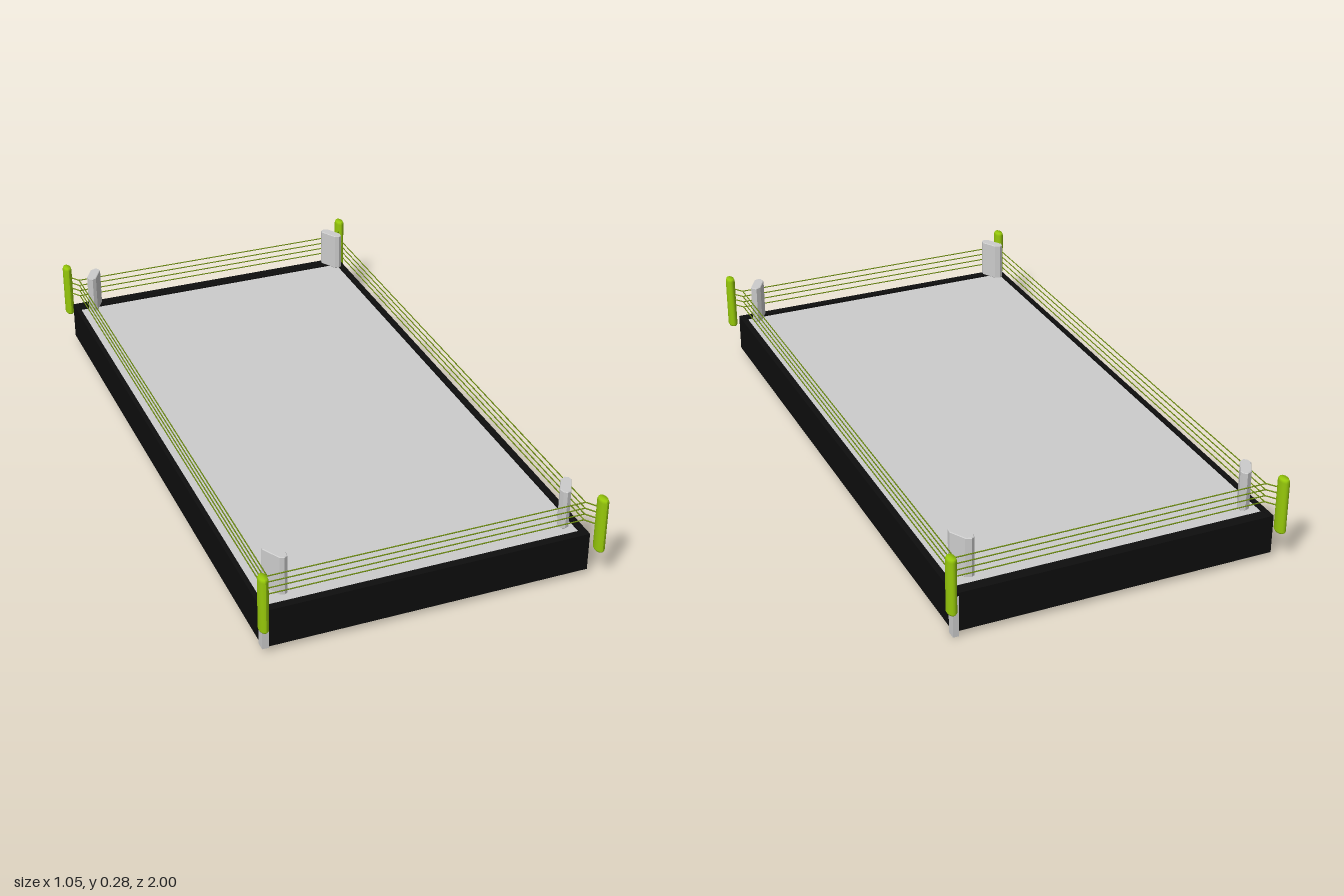
import * as THREE from 'three';

const mat = (color) => new THREE.MeshStandardMaterial({ color });
const grey = mat(0xcccccc);
const black = mat(0x0e0e0e);
const green = mat(0x96c80a);
const ropeGreen = mat(0x6f8f10);

export function createModel() {
  const ring = new THREE.Group();
  ring.name = 'wrestlingRing';

  const add = (name, geometry, material) => {
    const mesh = new THREE.Mesh(geometry, material);
    mesh.name = name;
    ring.add(mesh);
    return mesh;
  };
  // box given by its two extreme corners
  const block = (name, material, [x0, y0, z0], [x1, y1, z1]) =>
    add(name, new THREE.BoxGeometry(x1 - x0, y1 - y0, z1 - z0), material)
      .position.set((x0 + x1) / 2, (y0 + y1) / 2, (z0 + z1) / 2);

  // canvas floor, sunk just below the skirt rim
  block('canvas', grey, [-0.495, 0.124, -0.945], [0.488, 0.133, 0.94]);

  // skirt walls, open underneath
  block('skirtLeft', black, [0.475, 0.017, -0.953], [0.495, 0.14, 0.95]);
  block('skirtRight', black, [-0.503, 0.017, -0.953], [-0.488, 0.14, 0.95]);
  block('skirtFront', black, [-0.49, 0.017, 0.925], [0.476, 0.14, 0.95]);
  block('skirtBack', black, [-0.49, 0.017, -0.953], [0.476, 0.14, -0.93]);
  block('backRim', black, [-0.49, 0.124, -0.932], [0.476, 0.138, -0.915]);

  // corner legs
  block('frontRightLeg', grey, [-0.507, 0.015, 0.925], [-0.487, 0.138, 0.953]);
  block('backLeftLeg', grey, [0.479, 0, -0.954], [0.497, 0.13, -0.925]);

  // bent plate bracing the middle of the floor from below
  const plate = new THREE.Shape();
  plate.moveTo(0.09, 0.128);
  plate.lineTo(-0.085, 0.128);
  plate.quadraticCurveTo(-0.085, 0.108, -0.065, 0.108);
  plate.lineTo(0.09, 0.122);
  const brace = add('floorBrace',
    new THREE.ExtrudeGeometry(plate, { depth: 0.97, bevelEnabled: false, curveSegments: 6 }), grey);
  brace.rotation.y = -Math.PI / 2;
  brace.position.x = 0.48;

  // padded corner cushion: long octagonal outline, extruded upward
  const outline = [[-0.039, -0.006], [-0.03, -0.014], [0.03, -0.014], [0.039, -0.006],
    [0.039, 0.004], [0.026, 0.014], [-0.026, 0.014], [-0.039, 0.004]];
  const padGeometry = new THREE.ExtrudeGeometry(
    new THREE.Shape(outline.map(([x, y]) => new THREE.Vector2(x, y))),
    { depth: 0.121, bevelEnabled: true, bevelSize: 0.002, bevelThickness: 0.002, bevelSegments: 1 });
  padGeometry.rotateX(-Math.PI / 2);

  // oval post with softened ends
  const postGeometry = new THREE.LatheGeometry(
    [[0, 0.1], [0.8, 0.1], [1, 0.106], [1, 0.268], [0.8, 0.276], [0, 0.276]]
      .map(([r, y]) => new THREE.Vector2(r, y)), 16);
  postGeometry.scale(0.0145, 1, 0.023);
  postGeometry.computeVertexNormals();

  const corners = [[1, 1], [1, -1], [-1, -1], [-1, 1]];
  for (const [sx, sz] of corners) {
    const side = `${sz > 0 ? 'front' : 'back'}${sx > 0 ? 'Left' : 'Right'}`;
    add(`${side}Post`, postGeometry, green).position.set(sx * 0.511, 0, sz * 0.977);
    const pad = add(`${side}Pad`, padGeometry, grey);
    pad.position.set(sx * 0.442, 0.158, sz * 0.883);
    pad.rotation.y = sx * sz * 1.06;
  }

  // four rope levels, each tied to the posts by short links
  const rope = (name, a, b, radius) => {
    const curve = new THREE.LineCurve3(new THREE.Vector3(...a), new THREE.Vector3(...b));
    add(name, new THREE.TubeGeometry(curve, 1, radius, 6), ropeGreen);
  };
  for (const y of [0.18, 0.2, 0.22, 0.24]) {
    corners.forEach(([sx, sz], i) => {
      const [nx, nz] = corners[(i + 1) % 4];
      const here = [sx * 0.482, y, sz * 0.932];
      rope('rope', here, [nx * 0.482, y, nz * 0.932], 0.0018);
      rope('ropeLink', here, [sx * 0.511, y, sz * 0.972], 0.0022);
    });
  }
  return ring;
}
